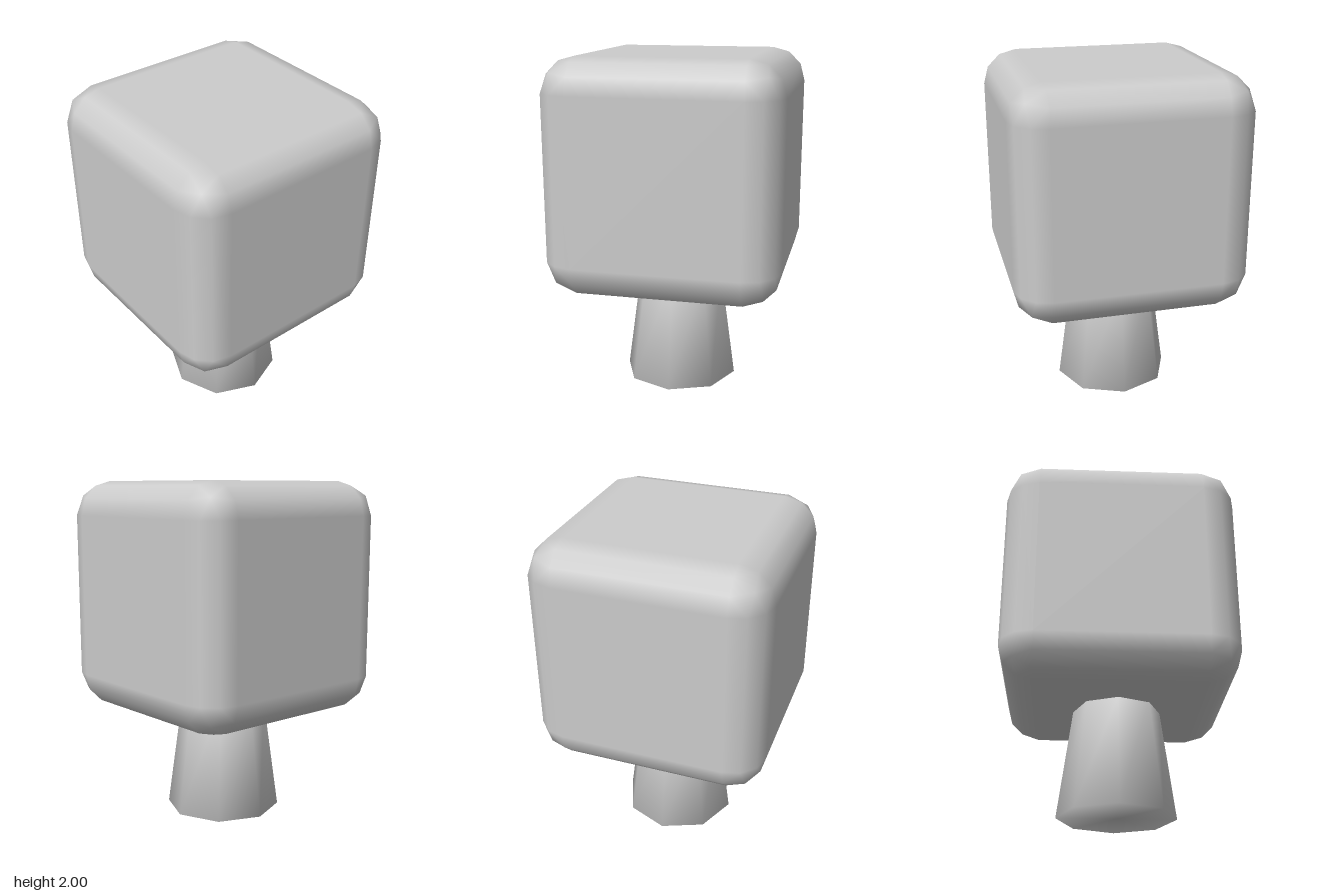
import * as THREE from 'three';
import { ConvexGeometry } from 'three/addons/geometries/ConvexGeometry.js';
import { mergeVertices } from 'three/addons/utils/BufferGeometryUtils.js';

const HALF = 0.68, RADIUS = 0.2, STEPS = 3;
const CORE = HALF - RADIUS;

// Cube with rounded edges: a coarse sphere octant on each corner, wrapped in a hull
function roundedCube() {
  const points = [];
  const arc = (i) => Math.sin((i / STEPS) * Math.PI / 2);
  for (const sx of [-1, 1]) for (const sy of [-1, 1]) for (const sz of [-1, 1]) {
    for (let i = 0; i <= STEPS; i++) for (let j = 0; j <= STEPS - i; j++) {
      const p = new THREE.Vector3(arc(i), arc(j), arc(STEPS - i - j)).setLength(RADIUS);
      p.addScalar(CORE).multiply(new THREE.Vector3(sx, sy, sz));
      points.push(p);
    }
  }
  const geometry = new ConvexGeometry(points);

  // Smooth normals point away from the inner core box
  const { position, normal } = geometry.attributes;
  const low = new THREE.Vector3(-CORE, -CORE, -CORE);
  const high = new THREE.Vector3(CORE, CORE, CORE);
  const p = new THREE.Vector3();
  for (let i = 0; i < position.count; i++) {
    p.fromBufferAttribute(position, i);
    p.sub(p.clone().clamp(low, high)).normalize();
    normal.setXYZ(i, p.x, p.y, p.z);
  }
  return geometry;
}

// Tapered eight-sided post, softly shaded across its rims
function taperedPost(topRadius, bottomRadius, height) {
  const geometry = new THREE.CylinderGeometry(topRadius, bottomRadius, height, 8);
  geometry.deleteAttribute('uv');
  geometry.deleteAttribute('normal');
  const merged = mergeVertices(geometry, 1e-4);
  merged.computeVertexNormals();
  return merged;
}

export function createModel() {
  const model = new THREE.Group();
  model.name = 'blockTree';
  const material = new THREE.MeshStandardMaterial({ color: 0xcccccc });

  const trunkHeight = 0.66;
  const trunk = new THREE.Mesh(taperedPost(0.255, 0.345, trunkHeight), material);
  trunk.name = 'trunk';
  trunk.position.y = trunkHeight / 2;

  const crown = new THREE.Mesh(roundedCube(), material);
  crown.name = 'crown';
  crown.position.y = 2 - HALF;

  model.add(trunk, crown);
  return model;
}
